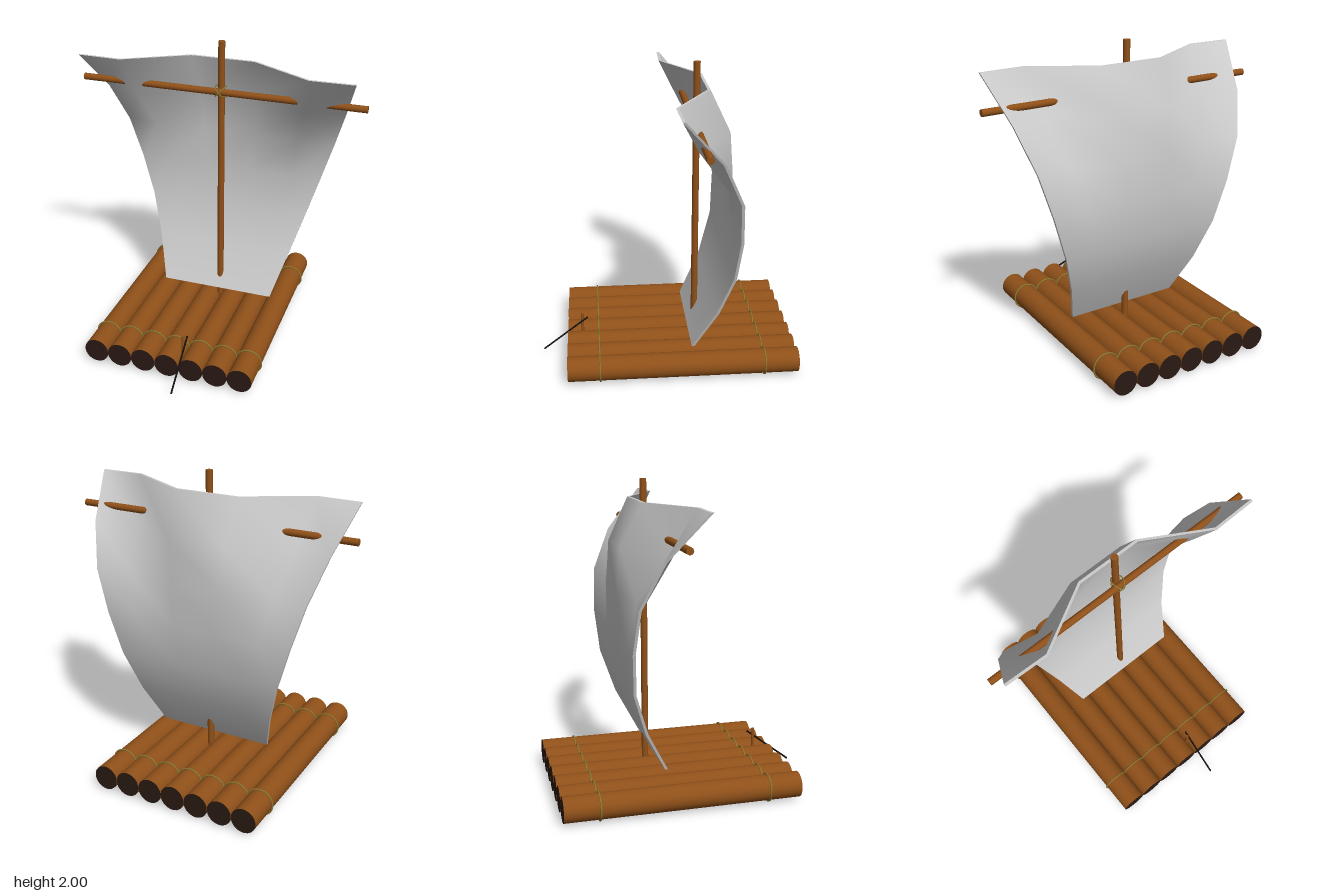
import * as THREE from 'three';

const mat = (color, extra = {}) => new THREE.MeshStandardMaterial({ color, ...extra });
const wood = mat(0x8f5019);
const darkWood = mat(0x2a1a14);
const rope = mat(0x8a7630);
const black = mat(0x14100c);
const cloth = mat(0xcccccc, { side: THREE.DoubleSide });

// Round pole between two points
function pole(name, a, b, radius, sides, material) {
  const from = new THREE.Vector3(...a), to = new THREE.Vector3(...b);
  const dir = to.clone().sub(from);
  const mesh = new THREE.Mesh(new THREE.CylinderGeometry(radius, radius, dir.length(), sides), material);
  mesh.position.copy(from).add(to).multiplyScalar(0.5);
  mesh.quaternion.setFromUnitVectors(new THREE.Vector3(0, 1, 0), dir.normalize());
  mesh.name = name;
  return mesh;
}

function ring(name, radius, tube, x, y, z) {
  const mesh = new THREE.Mesh(new THREE.TorusGeometry(radius, tube, 8, 32), rope);
  mesh.position.set(x, y, z);
  mesh.name = name;
  return mesh;
}

// Deck of seven logs, each bound by two rope rings
function makeDeck() {
  const deck = new THREE.Group();
  deck.name = 'deck';
  for (let i = 0; i < 7; i++) {
    const x = -0.574 + i * 0.1637;
    deck.add(pole('log', [x, 0.0925, -0.84], [x, 0.0925, 0.67], 0.0815, 32, [wood, darkWood, darkWood]));
    for (const z of [0.46, -0.617]) deck.add(ring('logRope', 0.0865, 0.0055, x, 0.0925, z));
  }
  return deck;
}

// Sail: a thin box bent over rows (top to bottom) and mirrored columns
function makeSail() {
  const columns = [-1, -0.685, -0.235, 0.235, 0.685, 1];
  const depth = [ // z at centre, shoulder and edge of each row
    [-0.247, -0.016, -0.024],
    [-0.38, -0.156, -0.264],
    [-0.404, -0.348, -0.388],
    [-0.407, -0.407, -0.407],
    [-0.385, -0.385, -0.385],
    [-0.295, -0.295, -0.295],
    [-0.15, -0.15, -0.15],
  ];
  const geo = new THREE.BoxGeometry(5, 6, 1, 5, 6, 1);

  // Split the back quads along the same diagonal as the front ones
  const index = geo.index.array;
  const { start, count } = geo.groups[5];
  for (let i = start; i < start + count; i += 6) {
    const [a, b, , , c, d] = index.slice(i, i + 6);
    index.set([a, b, c, a, c, d], i);
  }

  const p = geo.attributes.position;
  for (let i = 0; i < p.count; i++) {
    const col = Math.round(p.getX(i) + 2.5);
    const row = Math.round(3 - p.getY(i));
    const side = Math.floor(Math.abs(col - 2.5));
    const half = THREE.MathUtils.lerp(0.898, 0.388, row / 6);
    p.setXYZ(i,
      -0.01 + columns[col] * half,
      THREE.MathUtils.lerp(1.872, 0.206, row / 6),
      depth[row][side] + Math.sign(p.getZ(i)) * 0.009);
  }
  geo.computeVertexNormals();
  const sail = new THREE.Mesh(geo, cloth);
  sail.name = 'sail';
  return sail;
}

export function createModel() {
  const raft = new THREE.Group();
  raft.name = 'raft';
  raft.add(makeDeck(), makeSail());

  // Mast and yard
  raft.add(pole('mast', [-0.002, 0.08, -0.198], [-0.002, 2, -0.198], 0.022, 16, wood));
  raft.add(pole('yard', [-0.95, 1.675, -0.16], [0.948, 1.675, -0.16], 0.022, 16, wood));

  // Crossed lashing where the yard meets the mast
  for (const s of [-1, 1]) {
    const knot = ring('yardLashing', 0.048, 0.0045, -0.002, 1.675, -0.179);
    knot.rotation.set(0, Math.PI / 2, s * Math.PI / 4, 'ZYX');
    raft.add(knot);
  }

  // Steering oar on its post
  raft.add(pole('oarPost', [-0.002, 0.06, 0.57], [-0.002, 0.276, 0.57], 0.01, 10, wood));
  raft.add(pole('steeringOar', [0.015, 0.02, 0.838], [0.015, 0.253, 0.533], 0.006, 8, black));
  return raft;
}
